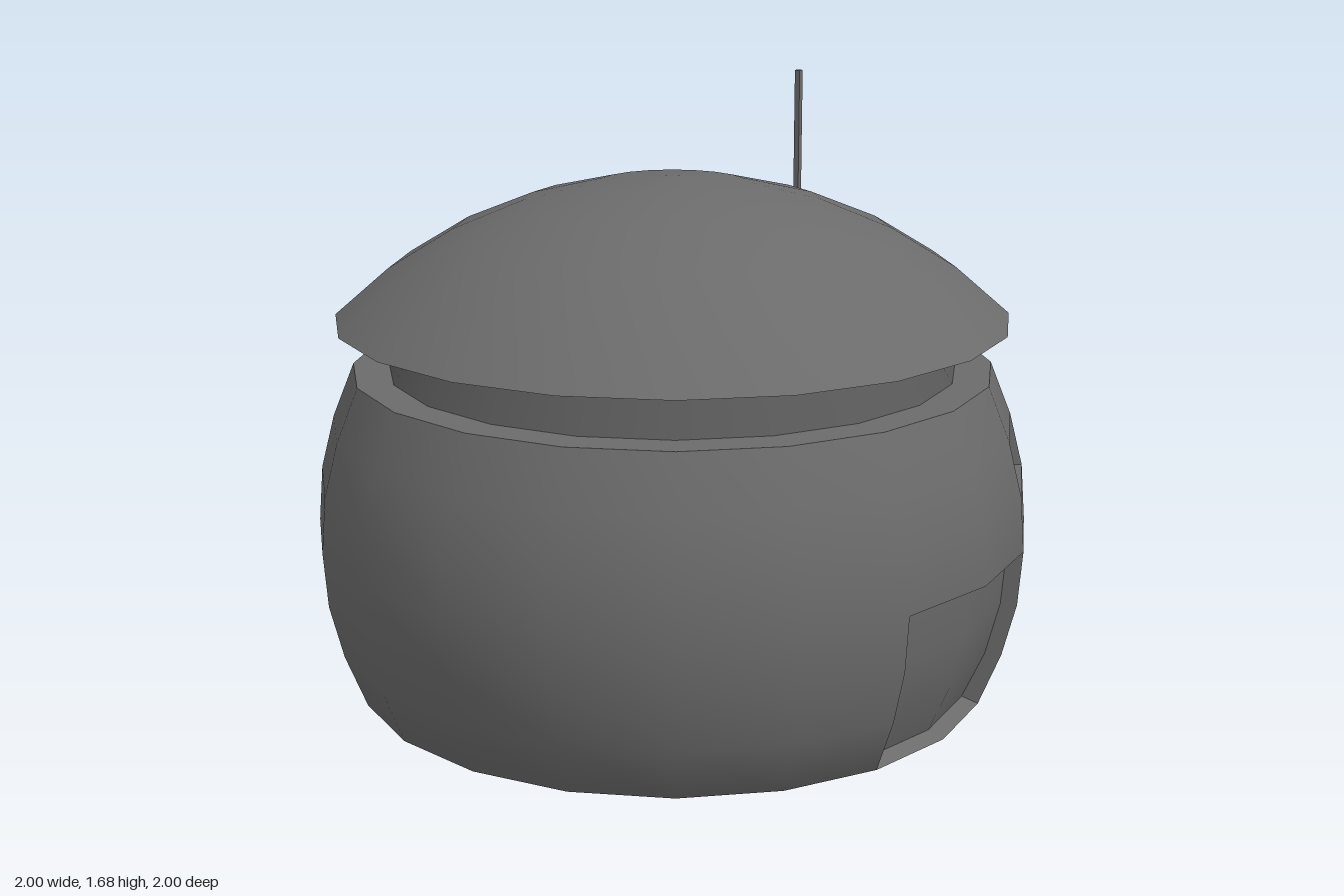
import * as THREE from 'three';

const SEGS = 20;
const STEP = (Math.PI * 2) / SEGS;
const material = new THREE.MeshStandardMaterial({ color: 0x6b6b6b });
const openMaterial = new THREE.MeshStandardMaterial({ color: 0x6b6b6b, side: THREE.DoubleSide });
const neckMaterial = new THREE.MeshStandardMaterial({ color: 0x585858 });

// Base and body rings, bottom to top: [radius, height]
const WALL = [[0, 0], [0.84, 0], [0.89, 0], [0.95, 0.15], [0.988, 0.3], [1, 0.455], [0.988, 0.61], [0.95, 0.76], [0.89, 0.91]];

// Openings in the wall, counted in segments (from the front towards +x) and rings
const DOOR = { from: -1, count: 2, low: 2, high: 5, inset: 0.046, lift: 0.016 };
const WINDOW = { from: 1, count: 1, low: 6, high: 7, inset: 0.025, lift: 0 };

const toPoints = (rows) => rows.map(([r, y]) => new THREE.Vector2(r, y));

function lathe(rows, from = 0, count = SEGS) {
  return new THREE.LatheGeometry(toPoints(rows), count, from * STEP, count * STEP);
}

function add(parent, name, geometry, mat = material) {
  const mesh = new THREE.Mesh(geometry, mat);
  mesh.name = name;
  parent.add(mesh);
  return mesh;
}

function isOpen(seg, ring) {
  return [DOOR, WINDOW].some((o) =>
    (seg - o.from + SEGS) % SEGS < o.count && ring >= o.low && ring < o.high);
}

// Smooth wall and base with the faces of the openings left out
function wallGeometry() {
  const geo = lathe(WALL);
  const rings = WALL.length - 1;
  const all = geo.index.array;
  const kept = [];
  for (let s = 0; s < SEGS; s++) {
    for (let r = 0; r < rings; r++) {
      if (isOpen(s, r)) continue;
      const start = (s * rings + r) * 6;
      kept.push(...all.slice(start, start + 6));
    }
  }
  geo.setIndex(kept);
  return geo;
}

// Set-back panel with a reveal running round its border
function addRecess(parent, name, o) {
  const group = new THREE.Group();
  group.name = name;
  const outer = WALL.slice(o.low, o.high + 1);
  const inner = outer.map(([r, y], i) => [r - o.inset, y + (i === 0 ? o.lift : 0)]);
  add(group, name + 'Panel', lathe(inner, o.from, o.count));

  // Border loop as [segment, row]
  const last = outer.length - 1;
  const loop = [];
  for (let s = 0; s < o.count; s++) loop.push([s, 0]);
  for (let r = 0; r < last; r++) loop.push([o.count, r]);
  for (let s = o.count; s > 0; s--) loop.push([s, last]);
  for (let r = last; r > 0; r--) loop.push([0, r]);

  const at = (rows, [s, r]) => {
    const a = (o.from + s) * STEP;
    return [rows[r][0] * Math.sin(a), rows[r][1], rows[r][0] * Math.cos(a)];
  };
  const verts = [];
  loop.forEach((p, i) => {
    const q = loop[(i + 1) % loop.length];
    const [a, b, c, d] = [at(outer, p), at(outer, q), at(inner, q), at(inner, p)];
    verts.push(...a, ...b, ...c, ...a, ...c, ...d);
  });
  const reveal = new THREE.BufferGeometry();
  reveal.setAttribute('position', new THREE.Float32BufferAttribute(verts, 3));
  reveal.computeVertexNormals();
  add(group, name + 'Reveal', reveal, openMaterial);
  parent.add(group);
}

export function createModel() {
  const model = new THREE.Group();
  model.name = 'domedHut';

  // Rounded body with its base and openings
  const body = new THREE.Group();
  body.name = 'body';
  model.add(body);
  add(body, 'wall', wallGeometry());
  add(body, 'ledge', lathe([[0.89, 0.91], [0.79, 0.91]]));
  addRecess(body, 'doorway', DOOR);
  addRecess(body, 'window', WINDOW);

  // Stepped, darker neck under the roof
  const neck = new THREE.Group();
  neck.name = 'neck';
  model.add(neck);
  add(neck, 'neckSlope', lathe([[0.79, 0.91], [0.72, 1.03]]), neckMaterial);
  add(neck, 'neckStep', lathe([[0.72, 1.03], [0.68, 1.03]]), neckMaterial);
  add(neck, 'neckCollar', lathe([[0.68, 1.03], [0.665, 1.05]]), neckMaterial);

  // Shallow domed roof with a flat underside
  const roof = new THREE.Group();
  roof.name = 'roof';
  model.add(roof);
  add(roof, 'dome', lathe([[0.935, 1.05], [0.785, 1.18], [0.605, 1.29], [0.41, 1.37], [0.205, 1.42], [0.03, 1.434], [0, 1.434]]));
  add(roof, 'roofUnderside', lathe([[0, 1.05], [0.935, 1.05]]));

  // Thin square mast on the left of the roof
  const antenna = add(model, 'antenna', new THREE.BoxGeometry(0.016, 0.36, 0.016));
  antenna.position.set(0.495, 1.503, 0.09);

  return model;
}
